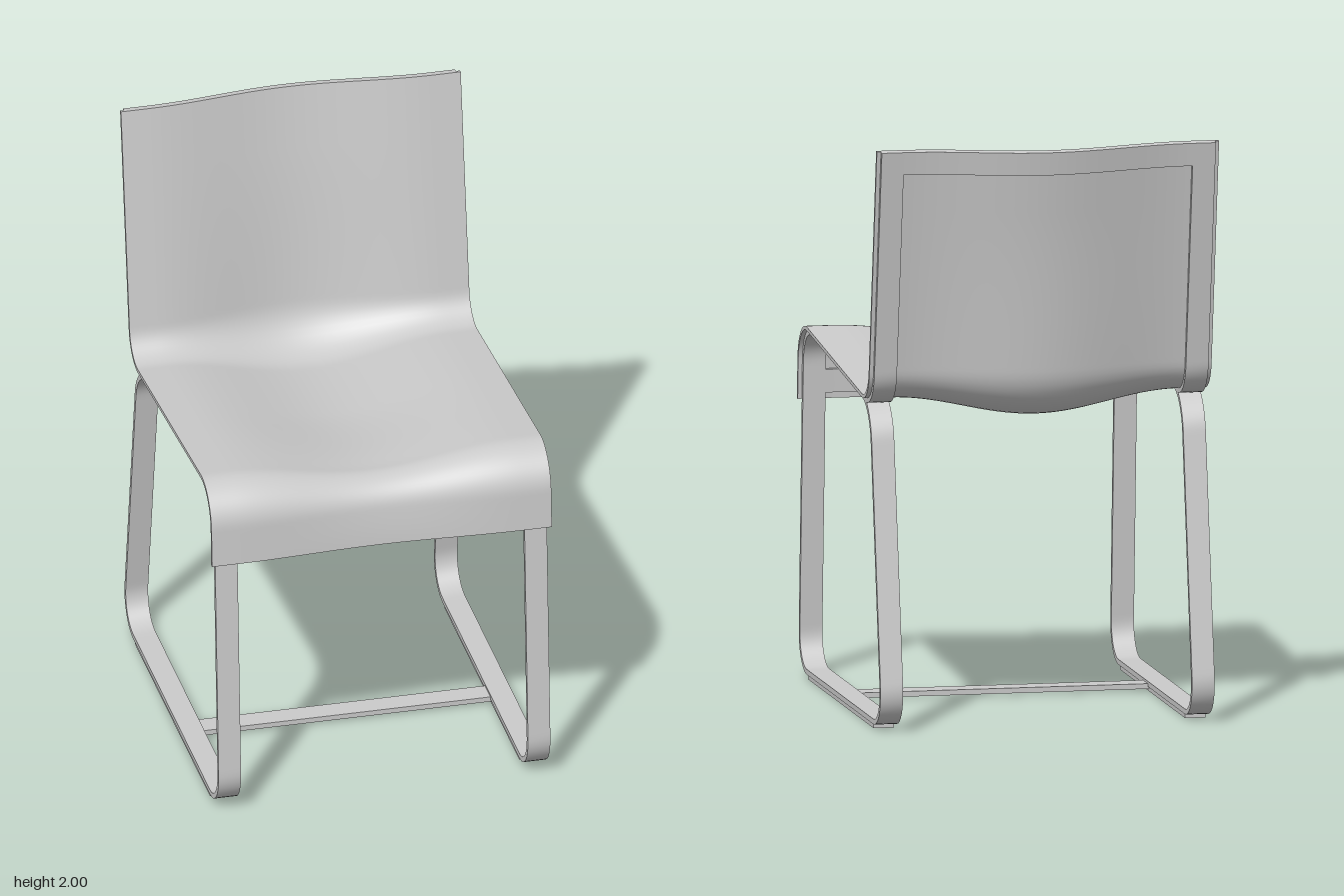
import * as THREE from 'three';
import { toCreasedNormals } from 'three/addons/utils/BufferGeometryUtils.js';

const material = new THREE.MeshStandardMaterial({ color: 0xcccccc });
const { smoothstep, lerp } = THREE.MathUtils;

// Side path in (z, y); each inner point [z, y, d] is a corner rounded over distance d.
function roundedPath(points) {
  const v = points.map(([z, y]) => new THREE.Vector2(z, y));
  const path = new THREE.Path().moveTo(v[0].x, v[0].y);
  for (let i = 1; i < v.length - 1; i++) {
    const d = points[i][2];
    const towards = (to, dist) => v[i].clone().add(to.clone().sub(v[i]).setLength(dist));
    const a = towards(v[i - 1], d), b = towards(v[i + 1], d);
    const ca = towards(v[i - 1], d * 0.45), cb = towards(v[i + 1], d * 0.45);
    path.lineTo(a.x, a.y);
    path.bezierCurveTo(ca.x, ca.y, cb.x, cb.y, b.x, b.y);
  }
  const end = v[v.length - 1];
  path.lineTo(end.x, end.y);
  return path;
}

// Solid sheet following a path from t0 to t1, spanning x0..x1, between two
// depths along the path normal, pushed further by sag(x, t).
function sheet(path, { x0, x1, near, far, t0 = 0, t1 = 1, rows = 120, cols = 1, sag = () => 0 }) {
  const positions = [], index = [];
  const ring = 2 * (cols + 1);
  for (let i = 0; i <= rows; i++) {
    const t = lerp(t0, t1, i / rows);
    const p = path.getPoint(t), tan = path.getTangent(t);
    for (let j = 0; j < ring; j++) {
      const top = j <= cols;
      const x = lerp(x0, x1, (top ? j : ring - 1 - j) / cols);
      const d = (top ? near : far) + sag(x, t);
      positions.push(x, p.y + tan.x * d, p.x - tan.y * d);
    }
  }
  for (let i = 0; i < rows; i++) {
    for (let j = 0; j < ring; j++) {
      const a = i * ring + j, b = i * ring + (j + 1) % ring;
      index.push(a, b, b + ring, a, b + ring, a + ring);
    }
  }
  const e = rows * ring;
  for (let j = 0; j < cols; j++) {
    const k = ring - 1 - j;
    index.push(j, k, k - 1, j, k - 1, j + 1);
    index.push(e + j, e + k - 1, e + k, e + j, e + j + 1, e + k - 1);
  }
  const geometry = new THREE.BufferGeometry();
  geometry.setAttribute('position', new THREE.Float32BufferAttribute(positions, 3));
  geometry.setIndex(index);
  return toCreasedNormals(geometry, Math.PI / 6);
}

// Hollow across the middle of the shell, shallower at the front lip.
function shellSag(x, t) {
  if (Math.abs(x) >= 0.5) return 0;
  const depth = lerp(0.02, 0.053, smoothstep(t, 0, 0.18))
    + 0.018 * smoothstep(t, 0.2, 0.4) * (1 - smoothstep(t, 0.55, 0.9));
  return depth * (1 + Math.cos(Math.PI * x / 0.5)) / 2;
}

export function createModel() {
  const chair = new THREE.Group();
  chair.name = 'chair';
  const add = (name, geometry, x = 0, y = 0, z = 0) => {
    const mesh = new THREE.Mesh(geometry, material);
    mesh.name = name;
    mesh.position.set(x, y, z);
    chair.add(mesh);
  };

  // Bent one-piece seat and back: lip, seat, backrest
  const shellPath = roundedPath([
    [0.677, 0.95], [0.66, 1.233, 0.15], [-0.5, 1.122, 0.1], [-0.64, 2],
  ]);
  add('seatShell', sheet(shellPath, {
    x0: -0.592, x1: 0.592, near: 0, far: 0.013, rows: 140, cols: 48, sag: shellSag,
  }));

  // Cross rails hugging the underside and rear of the shell
  const rails = [
    ['frontRail', 0.01, 0.046, 0.028],
    ['seatRail', 0.365, 0.403, 0.038],
    ['topRail', 0.964, 1, 0.029],
  ];
  for (const [name, t0, t1, far] of rails) {
    add(name, sheet(shellPath, {
      x0: -0.5, x1: 0.5, near: 0.012, far, t0, t1, rows: 8, cols: 40, sag: shellSag,
    }));
  }

  // Flat-bar leg loop, started halfway along the floor bar
  const legPath = roundedPath([
    [0.03, 0.016], [0.722, 0.016, 0.14], [0.646, 1.22, 0.14],
    [-0.476, 1.113, 0.13], [-0.672, 0.016, 0.15], [0.03, 0.016],
  ]);
  for (const [side, x0, x1] of [['left', 0.5, 0.578], ['right', -0.578, -0.5]]) {
    add(side + 'LegLoop', sheet(legPath, { x0, x1, near: 0, far: 0.018, rows: 200 }));
    add(side + 'BackStrap', sheet(shellPath, {
      x0, x1, near: 0.012, far: 0.029, t0: 0.557, t1: 1, rows: 60,
    }));
    add(side + 'FloorGlide', new THREE.BoxGeometry(0.07, 0.018, 1.08), (x0 + x1) / 2, 0.009, 0.03);
  }

  // Low stretcher joining the two floor bars
  add('stretcher', new THREE.BoxGeometry(1.02, 0.018, 0.08), 0, 0.017, 0.13);

  return chair;
}
